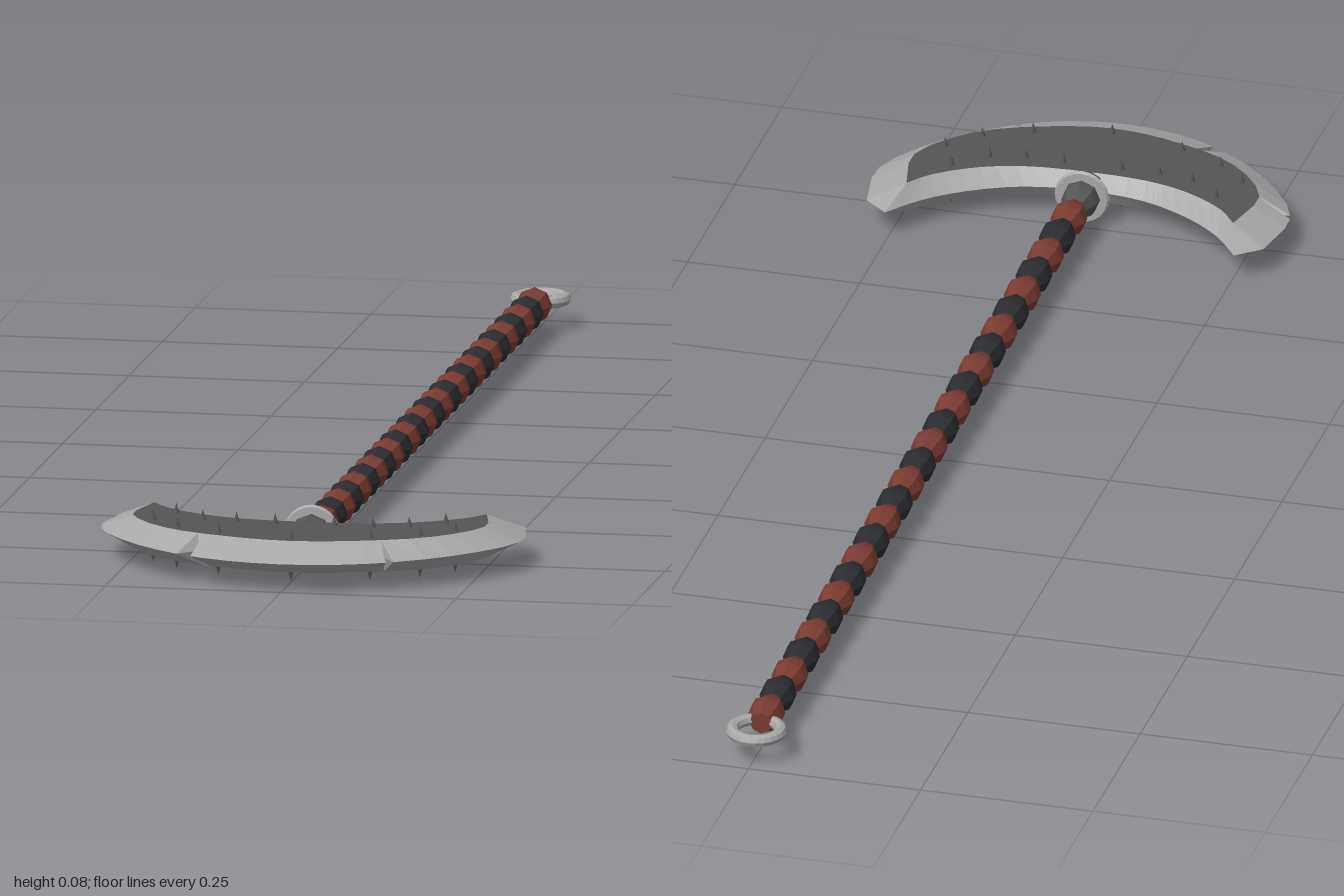
import * as THREE from 'three';

const MID = 0.042; // height of the weapon's middle plane

function material(color, doubleSide = false) {
  return new THREE.MeshStandardMaterial({
    color, flatShading: true, side: doubleSide ? THREE.DoubleSide : THREE.FrontSide,
  });
}

function addMesh(parent, name, geometry, mat) {
  const mesh = new THREE.Mesh(geometry, mat);
  mesh.name = name;
  parent.add(mesh);
  return mesh;
}

// Solid of revolution along z from [radius, z] pairs
function turned(profile, sides) {
  const g = new THREE.LatheGeometry(profile.map(([r, z]) => new THREE.Vector2(r, z)), sides);
  return g.rotateX(Math.PI / 2);
}

// Symmetric crescent curve from [x, z] pairs running from the centre to a horn
function crescent(half, y) {
  const right = half.map(([x, z]) => new THREE.Vector3(x, y, z));
  const left = half.slice(1).reverse().map(([x, z]) => new THREE.Vector3(-x, y, z));
  return new THREE.CatmullRomCurve3([...left, ...right]);
}

function createHead(steel, dark) {
  const head = new THREE.Group();
  head.name = 'axeHead';
  const top = MID + 0.022, bottom = MID - 0.023;
  const innerEdge = [[0, 0.785], [0.085, 0.775], [0.16, 0.74], [0.215, 0.695], [0.253, 0.645]];
  const innerFlat = [[0, 0.8], [0.085, 0.795], [0.15, 0.775], [0.21, 0.735], [0.237, 0.7]];
  const outerFlat = [[0, 0.94], [0.1, 0.92], [0.19, 0.875], [0.25, 0.79], [0.237, 0.7]];
  const outerEdge = [[0, 1], [0.115, 0.975], [0.225, 0.895], [0.298, 0.78], [0.288, 0.675]];
  const rows = [
    crescent(innerEdge, MID), crescent(innerFlat, top), crescent(outerFlat, top),
    crescent(outerEdge, MID), crescent(outerFlat, bottom), crescent(innerFlat, bottom),
  ];

  // Stations along the crescent, with extra ones at the chips in the cutting edge
  const chips = [
    { u: 0.125, width: 0.006, depth: 0.35 },
    { u: 0.341, width: 0.012, depth: 0.75 },
    { u: 0.659, width: 0.005, depth: 0.65 },
  ];
  const stations = [];
  for (let i = 0; i <= 24; i++) {
    if (!chips.some((c) => Math.abs(c.u - i / 24) < c.width + 0.004)) stations.push({ u: i / 24, depth: 0 });
  }
  for (const { u, width, depth } of chips) {
    stations.push({ u: u - width, depth: 0 }, { u, depth }, { u: u + width, depth: 0 });
  }
  stations.sort((a, b) => a.u - b.u);
  const sections = stations.map(({ u, depth }) => {
    const pts = rows.map((c) => c.getPoint(u));
    const base = pts[2].clone().setY(MID);
    pts[3].lerp(base, depth);
    return pts;
  });

  // Flat faces go to the dark plate, bevels to the steel edge
  const plate = [], edge = [];
  const tri = (list, a, b, c) => [a, b, c].forEach((p) => list.push(p.x, p.y, p.z));
  for (let i = 0; i < sections.length - 1; i++) {
    const s = sections[i], n = sections[i + 1];
    for (let r = 0; r < 6; r++) {
      const q = (r + 1) % 6;
      const list = r === 1 || r === 4 ? plate : edge;
      tri(list, s[r], s[q], n[q]);
      tri(list, s[r], n[q], n[r]);
    }
  }
  // Horn tips
  const l = sections[0], e = sections[sections.length - 1];
  tri(edge, e[0], e[1], e[3]);
  tri(edge, e[0], e[3], e[4]);
  tri(edge, l[0], l[3], l[1]);
  tri(edge, l[0], l[4], l[3]);

  for (const [name, list, mat] of [['bladePlate', plate, dark], ['bladeEdge', edge, steel]]) {
    const g = new THREE.BufferGeometry();
    g.setAttribute('position', new THREE.Float32BufferAttribute(list, 3));
    g.computeVertexNormals();
    addMesh(head, name, g, mat);
  }

  // Small spikes on both faces
  const studs = [
    [0, 0.925], [0.108, 0.9], [0.173, 0.868], [0.215, 0.825],
    [0.042, 0.82], [0.097, 0.82], [0.147, 0.81], [0.192, 0.772],
  ];
  const spike = new THREE.ConeGeometry(0.0055, 0.018, 6);
  for (const [x, z] of studs) {
    for (const sx of x === 0 ? [1] : [-1, 1]) {
      for (const up of [1, -1]) {
        const m = addMesh(head, 'spike', spike, dark);
        m.position.set(sx * x, up > 0 ? top + 0.006 : bottom - 0.006, z);
        if (up < 0) m.rotation.x = Math.PI;
      }
    }
  }
  return head;
}

export function createModel() {
  const model = new THREE.Group();
  model.name = 'battleAxe';
  const steel = material(0xa8a8a8);
  const dark = material(0x555555);
  const black = material(0x2b2c30);
  const red = material(0x7a3b32);

  model.add(createHead(steel, dark));

  // Handle of alternating faceted beads
  const handle = new THREE.Group();
  handle.name = 'handle';
  model.add(handle);
  const count = 27, pitch = 0.0615;
  const bead = turned([[0, -0.031], [0.016, -0.031], [0.025, -0.007],
    [0.025, 0.007], [0.016, 0.031], [0, 0.031]], 8);
  for (let i = 0; i < count; i++) {
    const m = addMesh(handle, i % 2 ? 'blackBead' : 'redBead', bead, i % 2 ? black : red);
    m.position.set(0, MID, 0.695 - i * pitch);
  }

  // Flared collar and its steel ring, between handle and head
  const collar = addMesh(model, 'collar', turned([[0, 0.722], [0.017, 0.724], [0.026, 0.748],
    [0.028, 0.775], [0.024, 0.8], [0, 0.8]], 8), dark);
  collar.position.y = MID;
  const collarRing = addMesh(model, 'collarRing', turned([[0.024, 0.762], [0.037, 0.762],
    [0.04, 0.766], [0.037, 0.77], [0.024, 0.77]], 24), steel);
  collarRing.position.y = MID;

  // Flat hanging ring at the end of the handle
  const ring = addMesh(model, 'endRing', new THREE.TorusGeometry(0.034, 0.009, 8, 24), steel);
  ring.rotation.x = Math.PI / 2;
  ring.position.set(0, MID, -0.957);

  return model;
}
